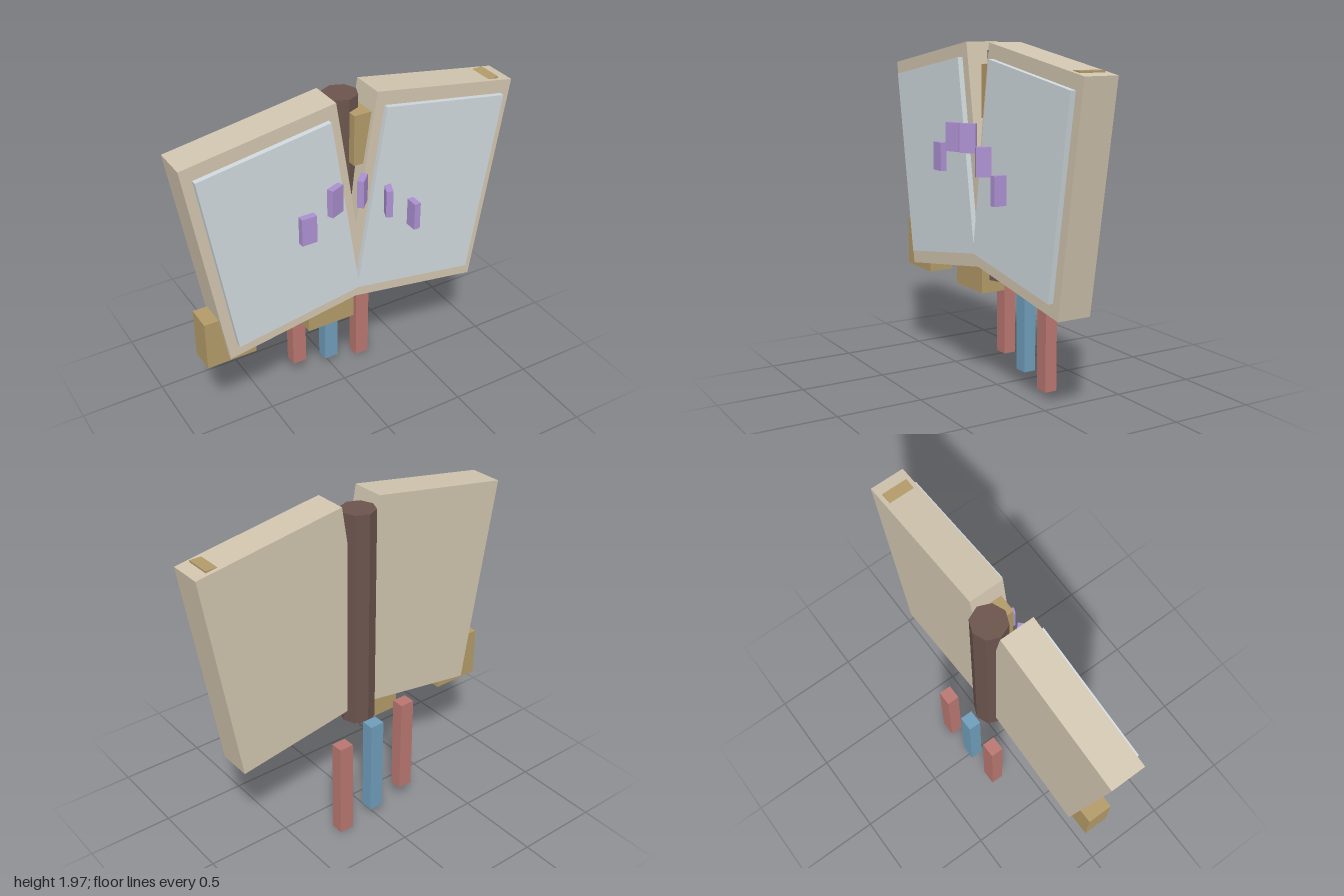
import * as THREE from 'three';

const COLORS = {
  cover: 0xd0c4ae, page: 0xced7dc, block: 0xb29a68, spine: 0x6b544c,
  red: 0xb87670, blue: 0x6f9dba, purple: 0xab90d0,
};

export function createModel() {
  const model = new THREE.Group();
  model.name = 'openBook';
  const materials = {};
  for (const [key, color] of Object.entries(COLORS)) {
    materials[key] = new THREE.MeshStandardMaterial({ color, flatShading: true });
  }

  const add = (parent, name, geometry, material, x, y, z) => {
    const mesh = new THREE.Mesh(geometry, materials[material]);
    mesh.name = name;
    mesh.position.set(x, y, z);
    parent.add(mesh);
    return mesh;
  };
  const box = (w, h, d) => new THREE.BoxGeometry(w, h, d);

  // Two tilted halves, each a thick cover with a page panel on the front
  for (const [side, s] of [['left', 1], ['right', -1]]) {
    const half = new THREE.Group();
    half.name = side + 'Half';
    half.position.set(s * 0.46, 1.28, 0);
    half.rotation.z = -s * 0.16;
    add(half, side + 'Cover', box(0.886, 1.257, 0.2), 'cover', 0, 0, 0.025);
    add(half, side + 'Page', box(0.77, 1.1, 0.055), 'page', 0, 0, 0.128);
    model.add(half);
  }

  // Octagonal spine behind the halves
  add(model, 'spine', new THREE.CylinderGeometry(0.1, 0.1, 1.294, 8), 'spine', 0, 1.278, -0.05);

  // Corner blocks: lower pair on the right half, upper pair on the left half
  for (const s of [1, -1]) {
    for (const [place, x] of [['inner', 0.147], ['outer', 0.777]]) {
      const name = place + (s > 0 ? 'Upper' : 'Lower') + 'CornerBlock';
      add(model, name, box(0.295, 0.295, 0.15), 'block', s * x, s > 0 ? 1.705 : 0.707, 0.025);
    }
  }

  // Arc of small tabs, each turned a further eighth of a half turn
  [1.315, 1.442, 1.45, 1.337, 1.203].forEach((y, i) => {
    const tab = add(model, 'tab' + (i + 1), box(0.09, 0.163, 0.038), 'purple', (i - 2) * 0.166, y, 0.185);
    tab.rotation.y = i * Math.PI / 8;
  });

  // Bookmark ribbons hanging below at the back
  [['red', 0.41], ['blue', 0.355], ['red', 0.2975]].forEach(([color, y], i) => {
    add(model, 'ribbon' + (i + 1), box(0.088, 0.595, 0.075), color, (i - 1) * 0.222, y, -0.197);
  });

  return model;
}
